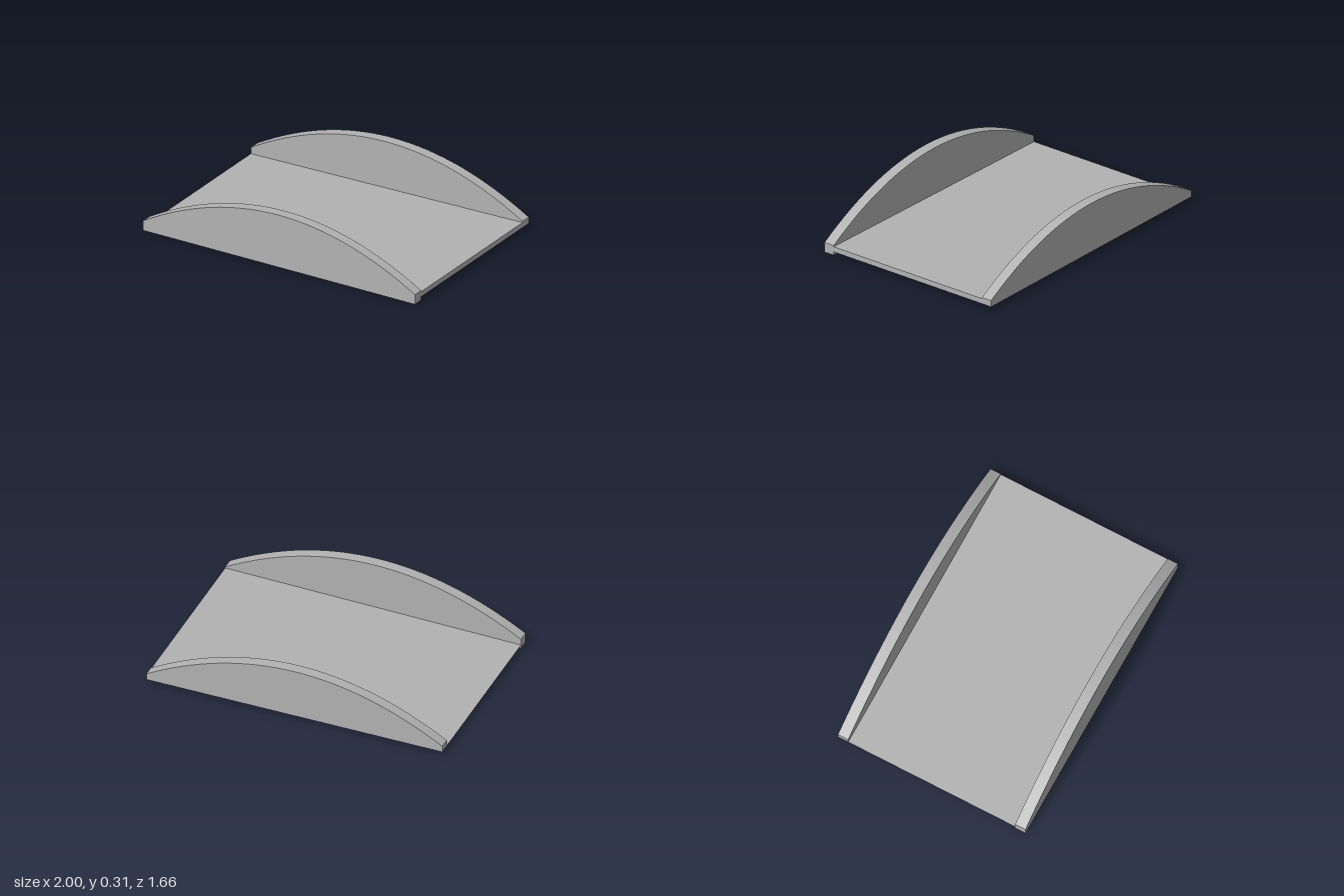
import * as THREE from 'three';

const LENGTH = 1.709, WIDTH = 1.133, WALL = 0.062;
const END_TOP = 0.057, RISE = 0.25, DECK_BASE = 0.02, DECK_TOP = 0.05;

export function createModel() {
  const gray = new THREE.MeshStandardMaterial({ color: 0xb2b2b2 });
  gray.name = 'concrete gray';

  // Extrudes a side profile across the bridge, starting at z
  const extrude = (name, shape, z, depth) => {
    const geometry = new THREE.ExtrudeGeometry(shape, { depth, bevelEnabled: false });
    const mesh = new THREE.Mesh(geometry, gray);
    mesh.name = name;
    mesh.position.z = z;
    return mesh;
  };

  // Side wall with a shallow arched top
  const half = LENGTH / 2;
  const wallShape = (base) => {
    const shape = new THREE.Shape();
    shape.moveTo(-half, base);
    shape.lineTo(half, base);
    const steps = 32;
    for (let i = 0; i <= steps; i++) {
      const t = 1 - (2 * i) / steps;
      shape.lineTo(t * half, END_TOP + RISE * (1 - t * t));
    }
    shape.closePath();
    return shape;
  };

  // Deck tapering to a thin edge at the right end
  const deckShape = new THREE.Shape();
  deckShape.moveTo(-half, DECK_BASE);
  deckShape.lineTo(half, DECK_BASE);
  deckShape.lineTo(half, DECK_TOP);
  deckShape.closePath();

  const model = new THREE.Group();
  model.name = 'archedBridge';
  const bridge = new THREE.Group();
  bridge.name = 'bridgeSpan';
  bridge.add(
    extrude('frontWall', wallShape(0), WIDTH / 2 - WALL, WALL),
    extrude('backWall', wallShape(DECK_BASE), -WIDTH / 2, WALL),
    extrude('deck', deckShape, -WIDTH / 2 + WALL, WIDTH - 2 * WALL)
  );

  // The span lies skewed to the axes
  bridge.rotation.y = -Math.atan2(0.6, 1.6);
  model.add(bridge);
  return model;
}
